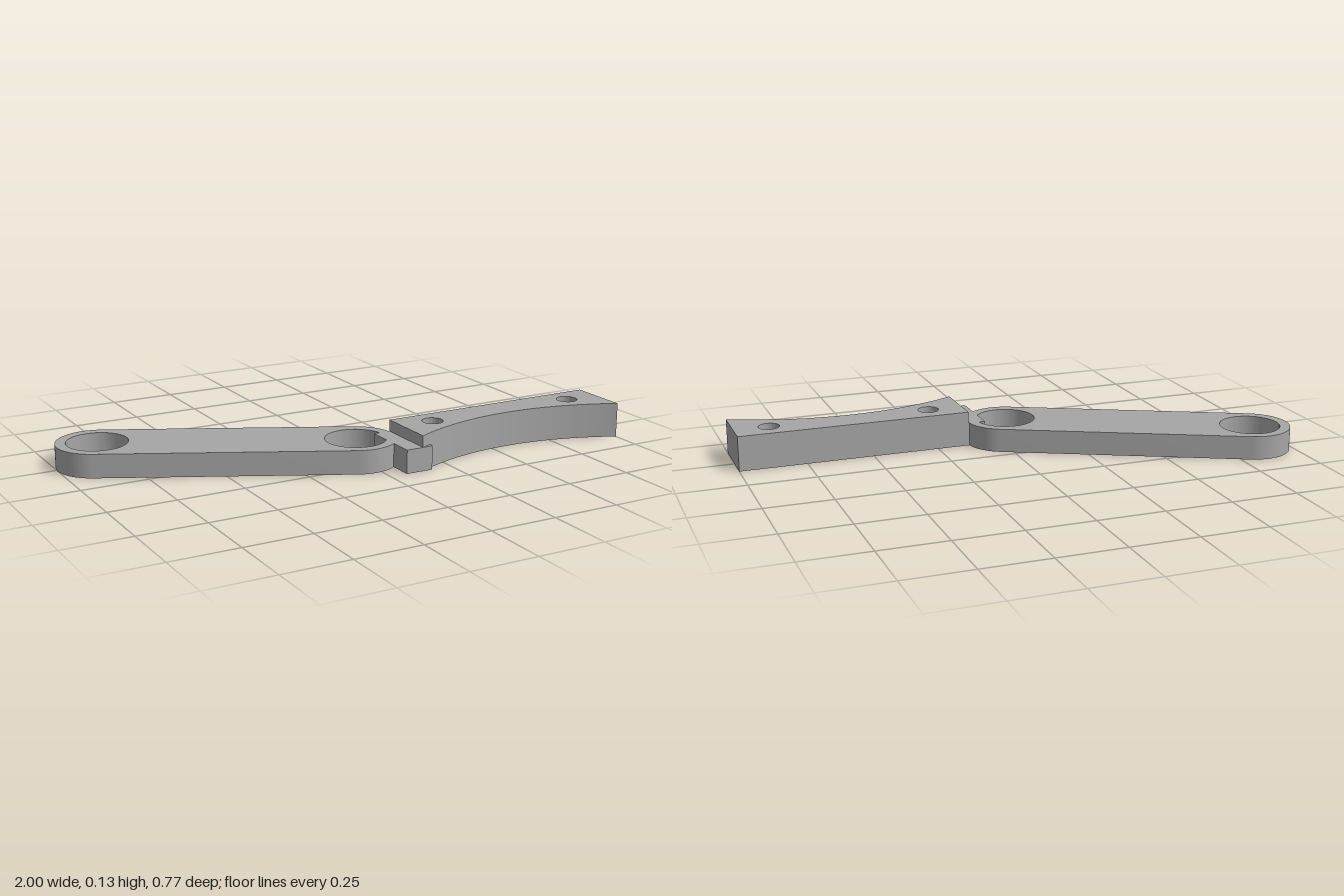
import * as THREE from 'three';
import { toCreasedNormals } from 'three/addons/utils/BufferGeometryUtils.js';

export function createModel() {
  const model = new THREE.Group();
  const grey = new THREE.MeshStandardMaterial({ color: 0xa6a6a6 });
  grey.name = 'plain grey';

  // Plan outline (shape y becomes z) raised from the ground to a height
  function addPlate(name, shape, height) {
    const geo = new THREE.ExtrudeGeometry(shape, { depth: height, bevelEnabled: false, curveSegments: 40 });
    geo.rotateX(Math.PI / 2).translate(0, height, 0);
    const mesh = new THREE.Mesh(toCreasedNormals(geo, 0.5), grey);
    mesh.name = name;
    model.add(mesh);
  }
  function addHole(shape, x, z, r) {
    shape.holes.push(new THREE.Path().absarc(x, z, r, 0, Math.PI * 2, true));
  }

  const armHeight = 0.088, bracketHeight = 0.131;

  // Slanted arm with round ends and a large hole at each end
  const a = { x: -0.85, z: -0.237 }, b = { x: -0.022, z: 0.174 };
  const r = 0.15;
  const tilt = Math.atan2(b.z - a.z, b.x - a.x);
  const arm = new THREE.Shape();
  arm.absarc(b.x, b.z, r, tilt - Math.PI / 2, tilt + Math.PI / 2, false);
  arm.absarc(a.x, a.z, r, tilt + Math.PI / 2, tilt + Math.PI * 1.5, false);
  arm.closePath();
  for (const c of [a, b]) addHole(arm, c.x, c.z, 0.112);
  addPlate('arm', arm, armHeight);

  // Bracket with a straight back, an arched front and two screw holes
  const back = 0.157, front = 0.387, x0 = 0.13, x1 = 1;
  const mid = (x0 + x1) / 2, half = (x1 - x0) / 2, rise = 0.105;
  const R = (half * half + rise * rise) / (2 * rise);
  const cz = front - rise + R;
  const sweep = Math.asin(half / R);
  const bracket = new THREE.Shape();
  bracket.moveTo(x0, back);
  bracket.lineTo(x1, back);
  bracket.lineTo(x1, front);
  bracket.absarc(mid, cz, R, -Math.PI / 2 + sweep, -Math.PI / 2 - sweep, true);
  bracket.closePath();
  for (const s of [-1, 1]) addHole(bracket, mid + s * 0.304, 0.243, 0.039);
  addPlate('bracket', bracket, bracketHeight);

  // Low tab joining the bracket to the arm, reaching slightly into the hole
  const tab = new THREE.Mesh(new THREE.BoxGeometry(0.105, armHeight, front - back), grey);
  tab.position.set(0.1175, armHeight / 2, (front + back) / 2);
  tab.name = 'joiningTab';
  model.add(tab);

  return model;
}
